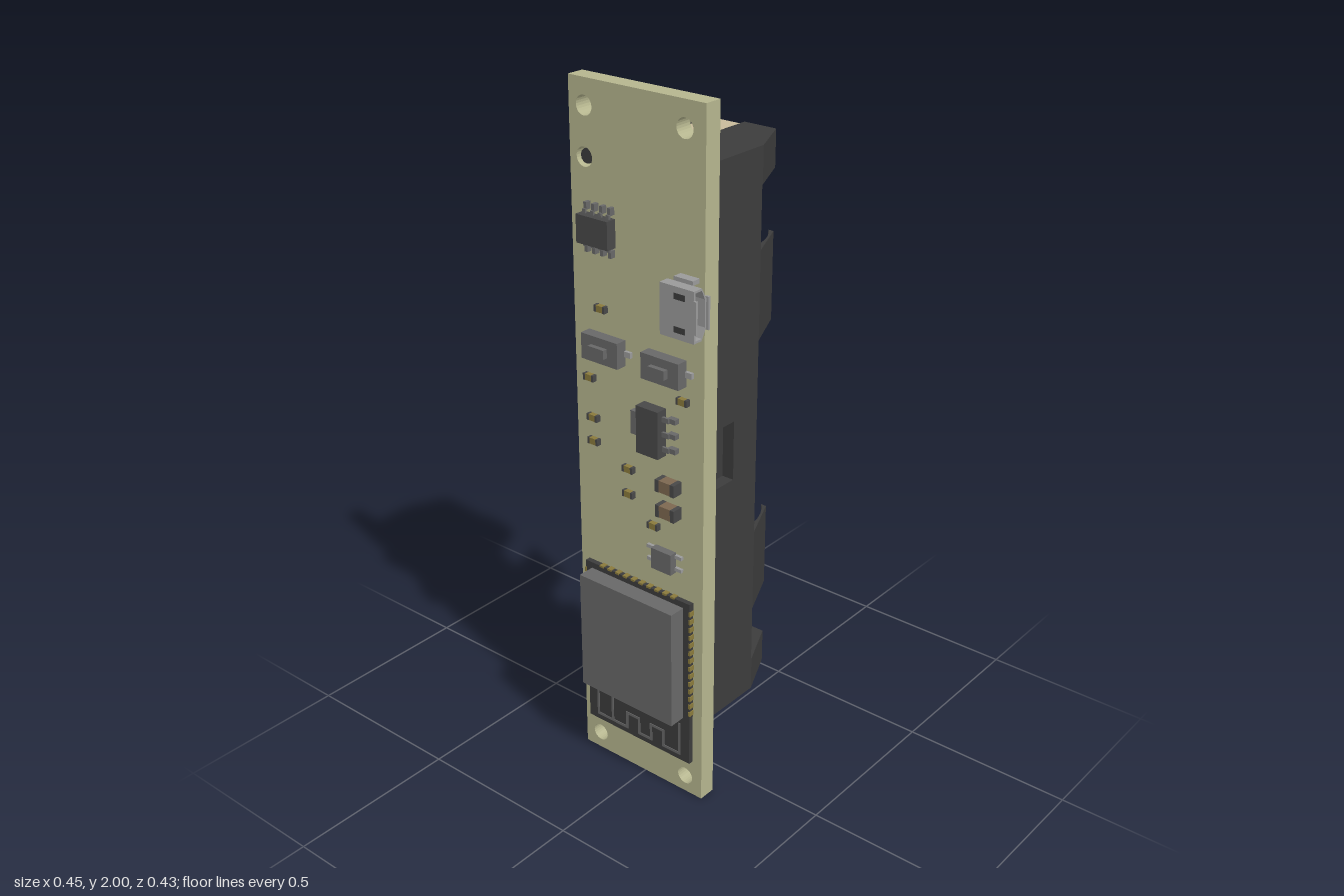
import * as THREE from 'three';

const mat = (color) => new THREE.MeshStandardMaterial({ color, flatShading: true, side: THREE.DoubleSide });
const BOARD = mat(0xb5b58e), BLACK = mat(0x3c3c3c), CHIP = mat(0x484848), GREY = mat(0x686868);
const METAL = mat(0x9a9a9a), BRASS = mat(0xc8bb9b), GOLD = mat(0x8a7a3c), BROWN = mat(0x7d6850);
const FRONT = 0.149; // front face of the board
const CX = -0.0125;  // centre line of the battery holder

function add(parent, name, geometry, material) {
  const mesh = new THREE.Mesh(geometry, material);
  mesh.name = name;
  parent.add(mesh);
  return mesh;
}

// Box given by its limits on each axis
function box(parent, name, material, x0, x1, y0, y1, z0, z1) {
  const g = new THREE.BoxGeometry(x1 - x0, y1 - y0, z1 - z0);
  g.translate((x0 + x1) / 2, (y0 + y1) / 2, (z0 + z1) / 2);
  return add(parent, name, g, material);
}

function group(parent, name) {
  const g = new THREE.Group();
  g.name = name;
  parent.add(g);
  return g;
}

function rectShape(x0, x1, y0, y1) {
  return new THREE.Shape([[x0, y0], [x1, y0], [x1, y1], [x0, y1]].map((p) => new THREE.Vector2(...p)));
}

function circleHole(shape, x, y, r) {
  shape.holes.push(new THREE.Path().absarc(x, y, r, 0, Math.PI * 2, true));
}

const extrude = (shape, depth) => new THREE.ExtrudeGeometry(shape, { depth, bevelEnabled: false, curveSegments: 12 });

function buildBoard(root) {
  const s = rectShape(-0.228, 0.207, 0, 2);
  for (const [x, y] of [[-0.178, 1.93], [0.143, 1.93], [-0.173, 0.053], [0.148, 0.053], [-0.18, 1.8]])
    circleHole(s, x, y, 0.026);
  add(root, 'circuitBoard', extrude(s, FRONT - 0.097).translate(0, 0, 0.097), BOARD);
}

// Half cross-section of the cradle: [u, height away from the board]
function cradleSection(kind) {
  const R = 0.185, C = 0.09, base = -0.093;
  const top = kind === 'tab' ? 0.215 : 0.078;
  const pts = kind === 'recess'
    ? [[0.053, base], [0.18, base], [0.18, -0.02], [0.2155, -0.02]]
    : [[0.053, base], [0.2155, base]];
  pts.push([0.2155, 0.078]);
  if (kind === 'tab') pts.push([0.153, 0.215]);
  const a0 = Math.asin((top - C) / R), a1 = -Math.acos(0.053 / R);
  for (let i = 0; i <= 14; i++) {
    const a = a0 + (a1 - a0) * i / 14;
    pts.push([R * Math.cos(a), C + R * Math.sin(a)]);
  }
  return pts;
}

function buildHolder(root) {
  const holder = group(root, 'batteryHolder');
  // End blocks have a slot for the contact, with a notch each side
  const end = [[0.053, -0.093], [0.2155, -0.093], [0.2155, 0.08], [0.153, 0.215], [0.053, 0.215],
    [0.053, 0.057], [0.083, 0.057], [0.083, 0.015], [0.053, 0.015]];
  const parts = [
    [0.255, 0.355, 'end'], [0.355, 0.525, 'low'], [0.525, 0.77, 'tab'], [0.77, 0.97, 'low'],
    [0.97, 1.14, 'recess'], [1.14, 1.335, 'low'], [1.335, 1.58, 'tab'], [1.58, 1.75, 'low'], [1.75, 1.85, 'end'],
  ];
  for (const [y0, y1, kind] of parts)
    for (const side of [-1, 1]) {
      const pts = kind === 'end' ? end : cradleSection(kind);
      const s = new THREE.Shape(pts.map(([u, h]) => new THREE.Vector2(CX + side * u, h)));
      add(holder, kind + 'Wall', extrude(s, y1 - y0).rotateX(-Math.PI / 2).translate(0, y0, 0), BLACK);
    }
  // Closed floor near the ends
  for (const [y0, y1] of [[0.27, 0.43], [1.67, 1.835]])
    box(holder, 'floor', BLACK, CX - 0.06, CX + 0.06, y0, y1, 0.082, 0.093);
  const peg = new THREE.CylinderGeometry(0.02, 0.02, 0.05, 12).rotateX(Math.PI / 2);
  add(holder, 'locatingPeg', peg.translate(-0.18, 1.8, 0.115), BLACK);
}

// Contact at the upper end: soldered foot, upright strip with wings, sprung return
function buildContact(root) {
  const c = group(root, 'batteryContact');
  const foot = rectShape(CX - 0.053, CX + 0.053, 1.84, 1.945);
  circleHole(foot, CX, 1.9, 0.013);
  add(c, 'foot', extrude(foot, 0.005).translate(0, 0, 0.092), BRASS);
  box(c, 'upright', BRASS, CX - 0.053, CX + 0.053, 1.838, 1.844, -0.212, 0.095);
  box(c, 'wings', BRASS, CX - 0.068, CX + 0.068, 1.838, 1.844, -0.056, -0.016);
  const curve = new THREE.CatmullRomCurve3([[1.841, -0.212], [1.8, -0.2], [1.755, -0.165], [1.725, -0.125],
    [1.715, -0.08], [1.725, -0.01]].map(([y, z]) => new THREE.Vector3(0, y, z)));
  const g = new THREE.PlaneGeometry(0.104, 1, 1, 16);
  const p = g.attributes.position;
  for (let i = 0; i < p.count; i++) {
    const q = curve.getPoint(0.5 - p.getY(i));
    p.setXYZ(i, CX + p.getX(i), q.y, q.z);
  }
  g.computeVertexNormals();
  add(c, 'spring', g, BRASS);
  return c;
}

function buildRadioModule(root) {
  const m = group(root, 'radioModule');
  box(m, 'moduleBase', BLACK, -0.2, 0.175, 0.115, 0.64, FRONT, 0.164);
  box(m, 'shield', GREY, -0.178, 0.152, 0.262, 0.622, 0.164, 0.214);
  for (let i = 0; i < 14; i++) {
    const y = 0.285 + i * 0.025;
    for (const x of [-0.2, 0.175])
      box(m, 'edgePad', GOLD, x - 0.003, x + 0.003, y - 0.007, y + 0.007, FRONT, 0.166);
  }
  for (let i = 0; i < 10; i++) {
    const x = -0.14 + i * 0.0283;
    box(m, 'topPad', GOLD, x - 0.007, x + 0.007, 0.637, 0.643, FRONT, 0.166);
  }
  // Meandering antenna trace
  const path = [[-0.165, 0.235], [-0.165, 0.135], [-0.055, 0.135], [-0.055, 0.185], [-0.01, 0.185], [-0.01, 0.135],
    [0.035, 0.135], [0.035, 0.185], [0.08, 0.185], [0.08, 0.135], [0.14, 0.135], [0.14, 0.235]];
  const trace = (a, b) => box(m, 'antennaTrace', GREY, Math.min(a[0], b[0]) - 0.004, Math.max(a[0], b[0]) + 0.004,
    Math.min(a[1], b[1]) - 0.004, Math.max(a[1], b[1]) + 0.004, 0.163, 0.1655);
  for (let i = 1; i < path.length; i++) trace(path[i - 1], path[i]);
  trace([-0.11, 0.135], [-0.11, 0.235]);
}

function buildSocket(root) {
  const u = group(root, 'chargingSocket');
  // Hollow shell with chamfered lower corners, mouth facing +x
  const outline = (k) => [[-0.157 - k, 1.452], [-0.175, 1.42 + k], [-0.205 + k, 1.42 + k],
    [-0.205 + k, 1.557 - k], [-0.175, 1.557 - k], [-0.157 - k, 1.525]].map((p) => new THREE.Vector2(...p));
  const s = new THREE.Shape(outline(0));
  s.holes.push(new THREE.Path(outline(0.006)));
  add(u, 'shell', extrude(s, 0.108).rotateY(Math.PI / 2).translate(0.11, 0, 0), METAL);
  const back = new THREE.Shape(outline(0.003));
  add(u, 'back', extrude(back, 0.03).rotateY(Math.PI / 2).translate(0.111, 0, 0), GREY);
  box(u, 'tongue', CHIP, 0.14, 0.2, 1.45, 1.527, 0.178, 0.188);
  for (const z of [0.155, 0.203])
    box(u, 'lip', METAL, 0.214, 0.225, 1.445, 1.532, z - 0.004, z + 0.003);
  for (const y of [1.415, 1.562]) box(u, 'mountTab', METAL, 0.13, 0.19, y - 0.006, y + 0.006, FRONT, 0.175);
  for (const y of [1.445, 1.532]) box(u, 'latchSlot', BLACK, 0.155, 0.19, y - 0.008, y + 0.008, 0.203, 0.206);
}

function buildChips(root) {
  // Eight-legged chip
  const c = group(root, 'eightPinChip');
  box(c, 'chipBody', CHIP, -0.181, -0.076, 1.586, 1.662, 0.155, 0.186);
  for (let i = 0; i < 4; i++) {
    const x = -0.168 + i * 0.0265;
    box(c, 'leg', GREY, x - 0.005, x + 0.005, 1.575, 1.673, 0.164, 0.17);
    for (const [y0, y1] of [[1.558, 1.578], [1.67, 1.69]])
      box(c, 'legFoot', GREY, x - 0.005, x + 0.005, y0, y1, FRONT, 0.165);
  }
  // Regulator with heat tab
  const r = group(root, 'regulator');
  box(r, 'regulatorBody', CHIP, 0.012, 0.085, 1.055, 1.19, 0.153, 0.187);
  box(r, 'heatTab', GREY, -0.026, 0.02, 1.09, 1.157, FRONT, 0.165);
  for (const y of [1.08, 1.122, 1.165]) {
    box(r, 'leg', GREY, 0.085, 0.107, y - 0.007, y + 0.007, 0.163, 0.17);
    box(r, 'legFoot', GREY, 0.1, 0.125, y - 0.007, y + 0.007, FRONT, 0.165);
  }
  // Small transistor
  const t = group(root, 'transistor');
  box(t, 'transistorBody', GREY, 0.05, 0.118, 0.715, 0.777, 0.153, 0.176);
  for (const y of [0.727, 0.765]) box(t, 'leg', METAL, 0.02, 0.14, y - 0.005, y + 0.005, FRONT, 0.158);
}

function buildSmallParts(root) {
  for (const x of [-0.113, 0.09]) {
    const b = group(root, 'pushButton');
    box(b, 'buttonBody', GREY, x - 0.062, x + 0.062, 1.27, 1.342, 0.152, 0.185);
    box(b, 'plunger', GREY, x - 0.027, x + 0.027, 1.293, 1.318, 0.185, 0.199);
    box(b, 'buttonLegs', METAL, x - 0.083, x + 0.083, 1.297, 1.313, FRONT, 0.158);
  }
  const passive = (name, x, y, w, h, d, m) => {
    const g = group(root, name);
    box(g, 'body', m, x - w * 0.3, x + w * 0.3, y - h / 2, y + h / 2, FRONT, FRONT + d);
    for (const s of [-1, 1]) {
      const e = box(g, 'endCap', CHIP, -w * 0.1, w * 0.1, -h * 0.52, h * 0.52, 0, d * 1.03);
      e.position.set(x + s * w * 0.4, y, FRONT);
    }
  };
  for (const [x, y] of [[-0.13, 1.41], [-0.175, 1.205], [0.143, 1.227], [-0.165, 1.09], [-0.165, 1.02],
    [-0.043, 0.975], [-0.043, 0.9], [0.043, 0.833]]) passive('resistor', x, y, 0.036, 0.018, 0.014, GOLD);
  for (const y of [0.975, 0.9]) passive('capacitor', 0.102, y, 0.064, 0.034, 0.032, BROWN);
}

export function createModel() {
  const root = new THREE.Group();
  root.name = 'batteryBoard';
  buildBoard(root);
  buildHolder(root);
  buildContact(root);
  // Lower contact mirrors the upper one about the holder's middle
  const lower = buildContact(root);
  lower.scale.y = -1;
  lower.position.y = 2.105;
  buildRadioModule(root);
  buildSocket(root);
  buildChips(root);
  buildSmallParts(root);
  return root;
}
